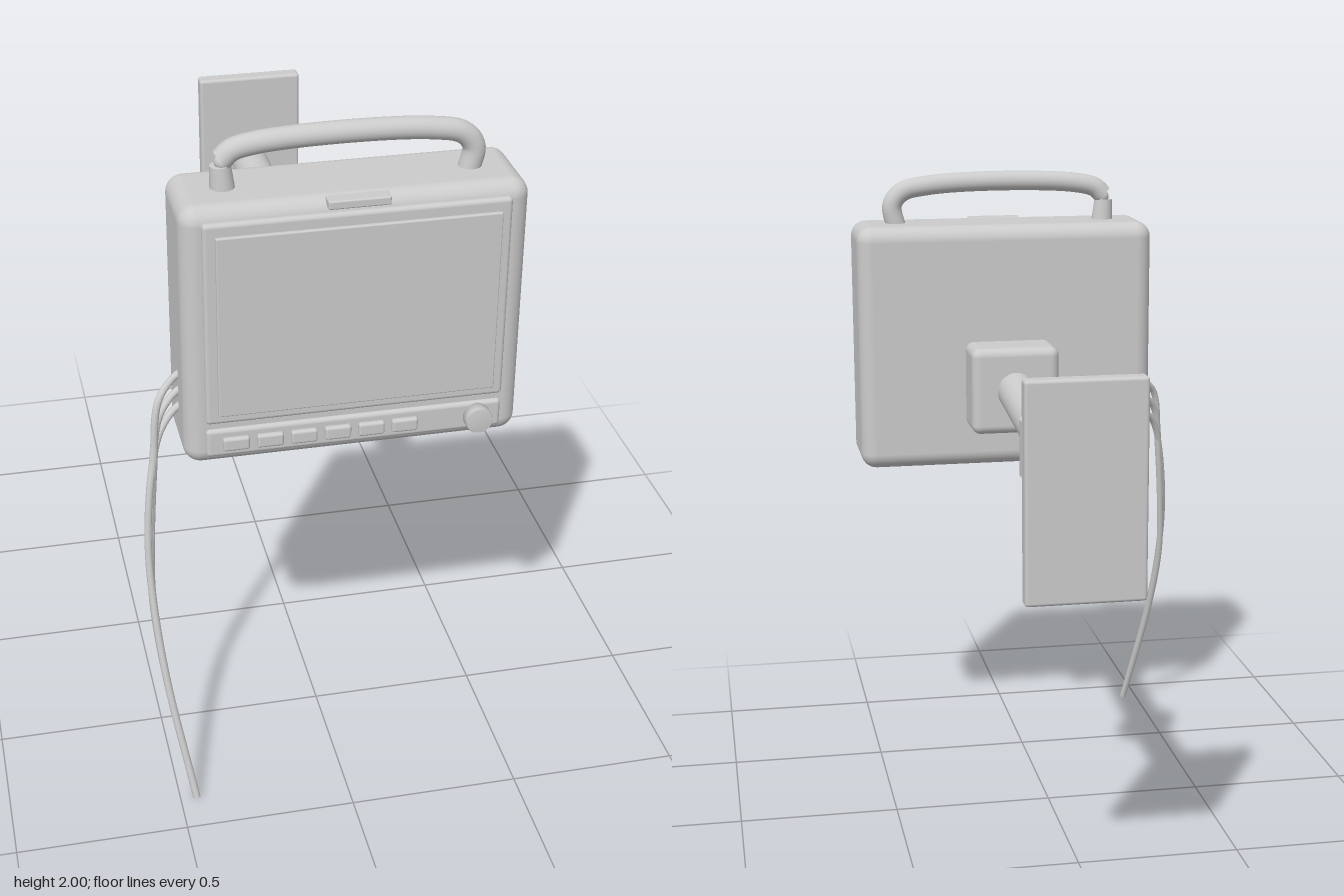
import * as THREE from 'three';
import { RoundedBoxGeometry } from 'three/addons/geometries/RoundedBoxGeometry.js';

const CX = 0.061; // shared centre line of screen, arm and plate
const V = (x, y, z) => new THREE.Vector3(x, y, z);

export function createModel() {
  const model = new THREE.Group();
  const grey = new THREE.MeshStandardMaterial({ color: 0xcccccc, side: THREE.DoubleSide });

  function add(name, geometry, x = 0, y = 0, z = 0, parent = model) {
    const mesh = new THREE.Mesh(geometry, grey);
    mesh.name = name;
    mesh.position.set(x, y, z);
    parent.add(mesh);
    return mesh;
  }

  // Rounded box given by its extents
  function box(name, [x0, x1], [y0, y1], [z0, z1], r, parent = model) {
    const g = new RoundedBoxGeometry(x1 - x0, y1 - y0, z1 - z0, 4, r);
    return add(name, g, (x0 + x1) / 2, (y0 + y1) / 2, (z0 + z1) / 2, parent);
  }

  // Straight round bar between two points
  function bar(name, a, b, r0, r1 = r0) {
    const mesh = add(name, new THREE.CylinderGeometry(r1, r0, a.distanceTo(b), 32));
    mesh.position.copy(a).lerp(b, 0.5);
    mesh.quaternion.setFromUnitVectors(V(0, 1, 0), b.clone().sub(a).normalize());
    return mesh;
  }

  const tube = (name, points, r, segments = 64, sides = 16) =>
    add(name, new THREE.TubeGeometry(new THREE.CatmullRomCurve3(points), segments, r, sides));

  // Monitor housing
  box('housing', [-0.425, 0.547], [1.04, 1.837], [0.395, 0.68], 0.05);
  box('bezel', [-0.367, 0.49], [1.183, 1.8], [0.65, 0.695], 0.012);
  box('screen', [-0.333, 0.46], [1.213, 1.763], [0.67, 0.706], 0.004);
  box('alarmLight', [-0.025, 0.148], [1.812, 1.837], [0.65, 0.695], 0.005);

  // Control strip with six buttons and a dial
  box('controlStrip', [-0.367, 0.49], [1.075, 1.162], [0.65, 0.692], 0.012);
  const buttons = new THREE.Group();
  buttons.name = 'buttons';
  model.add(buttons);
  for (let i = 0; i < 6; i++) {
    const x = -0.283 + i * 0.0975;
    box('button', [x - 0.038, x + 0.038], [1.097, 1.138], [0.68, 0.706], 0.008, buttons);
  }
  const dialProfile = [[0, 0], [0.04, 0], [0.04, 0.045], [0.037, 0.05], [0, 0.05]]
    .map(([r, h]) => new THREE.Vector2(r, h));
  const dial = add('dial', new THREE.LatheGeometry(dialProfile, 32), 0.418, 1.118, 0.678);
  dial.rotation.x = Math.PI / 2;

  // Carrying handle with a pinched joint above its right foot
  tube('handle', [
    V(-0.286, 1.917, 0.54), V(-0.258, 1.942, 0.54), V(-0.19, 1.958, 0.54),
    V(0.06, 1.968, 0.54), V(0.3, 1.957, 0.54), V(0.385, 1.937, 0.54),
    V(0.418, 1.895, 0.54), V(0.405, 1.82, 0.54),
  ], 0.032, 80, 20);
  bar('handleFoot', V(-0.283, 1.82, 0.54), V(-0.289, 1.902, 0.54), 0.036, 0.029);
  add('handleJoint', new THREE.SphereGeometry(0.024, 20, 14), -0.282, 1.911, 0.54);

  // Swing arm and wall plate
  box('mountBlock', [-0.081, 0.204], [1.183, 1.463], [0.223, 0.4], 0.028);
  bar('frontArm', V(CX, 1.325, 0.24), V(CX, 1.272, -0.324), 0.0615);
  add('armJoint', new THREE.CylinderGeometry(0.085, 0.085, 0.17, 40), CX, 1.266, -0.324);
  bar('rearArm', V(CX, 1.265, -0.324), V(CX, 1.265, -0.86), 0.0615);
  box('wallPlate', [-0.11, 0.232], [0.955, 1.582], [-0.895, -0.842], 0.01);

  // Three patient cables that gather into one hanging bundle
  for (let i = 0; i < 3; i++) {
    const drop = 0.052 * i;
    const s = (i - 1) * 0.005;
    tube('cable', [
      V(-0.41, 1.292 - drop, 0.56), V(-0.445, 1.272 - drop, 0.573),
      V(-0.488, 1.222 - drop, 0.603), V(-0.515 - s, 1.03 - drop * 0.3, 0.633 + s),
      V(-0.535 - s, 0.8, 0.668 + s), V(-0.537, 0.62, 0.704 + s),
      V(-0.515, 0.38, 0.77 + s), V(-0.452, 0.005, 0.882),
    ], 0.011, 72, 10);
  }

  return model;
}
